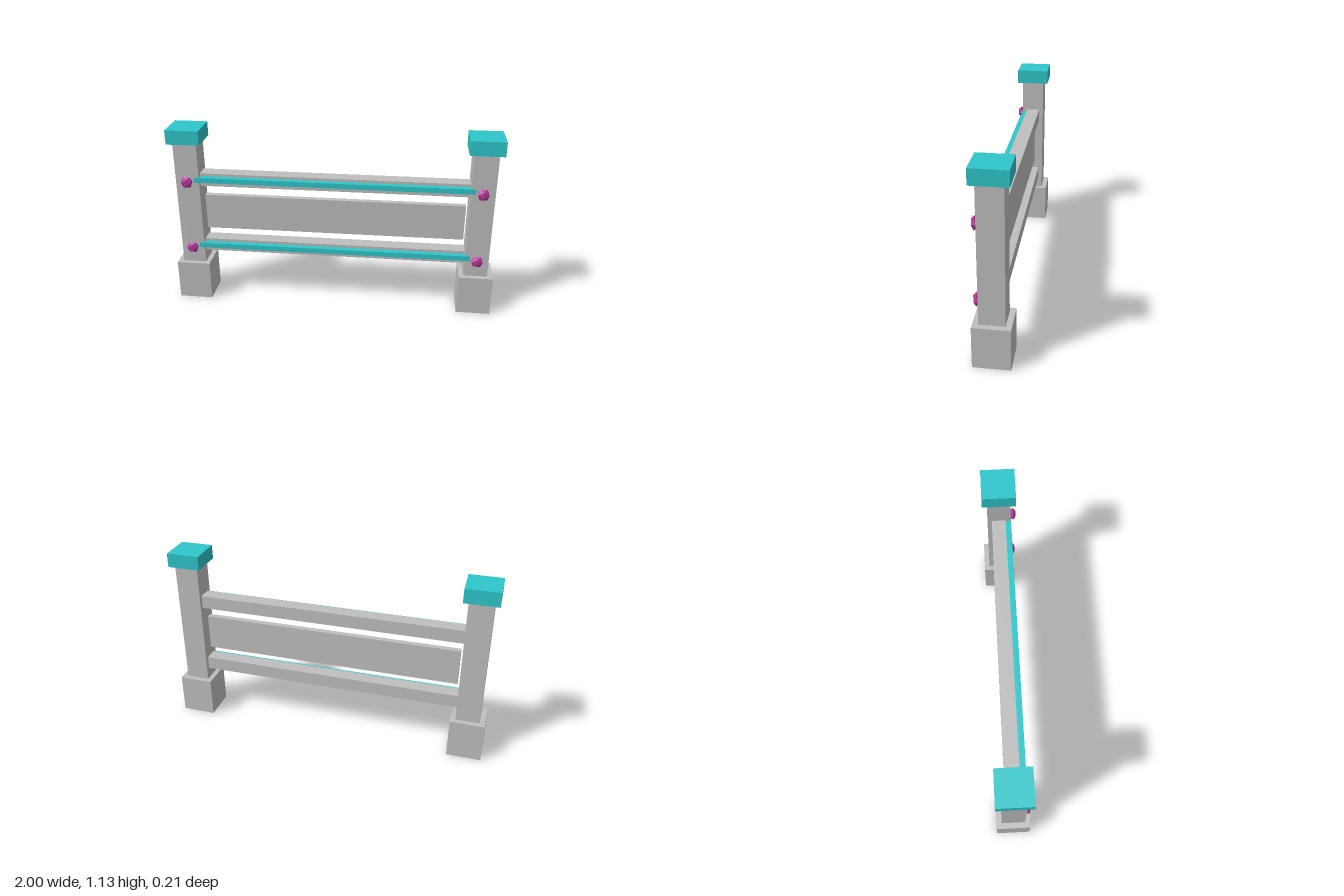
import * as THREE from 'three';

const material = (name, color, flatShading = false) => {
  const m = new THREE.MeshStandardMaterial({ color, flatShading });
  m.name = name;
  return m;
};

export function createModel() {
  const model = new THREE.Group();
  model.name = 'fence';
  const grey = material('stone grey', 0xbfbfbf);
  const cyan = material('bright cyan', 0x2ec7cb);
  const magenta = material('gem magenta', 0xb8389c, true);

  // Box spanning y0..y1 and z0..z1, centred on x
  const box = (parent, name, mat, x, width, y0, y1, z0, z1) => {
    const mesh = new THREE.Mesh(new THREE.BoxGeometry(width, y1 - y0, z1 - z0), mat);
    mesh.name = name;
    mesh.position.set(x, (y0 + y1) / 2, (z0 + z1) / 2);
    parent.add(mesh);
  };

  const postX = 0.893;
  const railHeights = [0.361, 0.806];
  const gem = new THREE.IcosahedronGeometry(0.04, 0).scale(1, 1, 0.55);

  // Posts with footing, cap and gem studs
  for (const side of [-1, 1]) {
    const post = new THREE.Group();
    post.name = side > 0 ? 'leftPost' : 'rightPost';
    box(post, 'footing', grey, side * 0.895, 0.21, 0, 0.25, -0.105, 0.105);
    box(post, 'shaft', grey, side * postX, 0.145, 0.25, 1.047, -0.072, 0.072);
    box(post, 'cap', cyan, side * postX, 0.203, 1.047, 1.135, -0.102, 0.102);
    for (const y of railHeights) {
      const stud = new THREE.Mesh(gem, magenta);
      stud.name = 'gemStud';
      stud.position.set(side * postX, y - 0.002, 0.09);
      post.add(stud);
    }
    model.add(post);
  }

  // Rails with a glowing strip along the front
  for (const y of railHeights) {
    box(model, 'rail', grey, 0, 1.7, y - 0.041, y + 0.041, -0.045, 0.041);
    box(model, 'railStrip', cyan, 0, 1.7, y - 0.008, y + 0.024, 0.036, 0.076);
  }

  // Thin centre panel
  box(model, 'panel', grey, 0, 1.61, 0.47, 0.695, -0.018, 0.018);

  return model;
}
